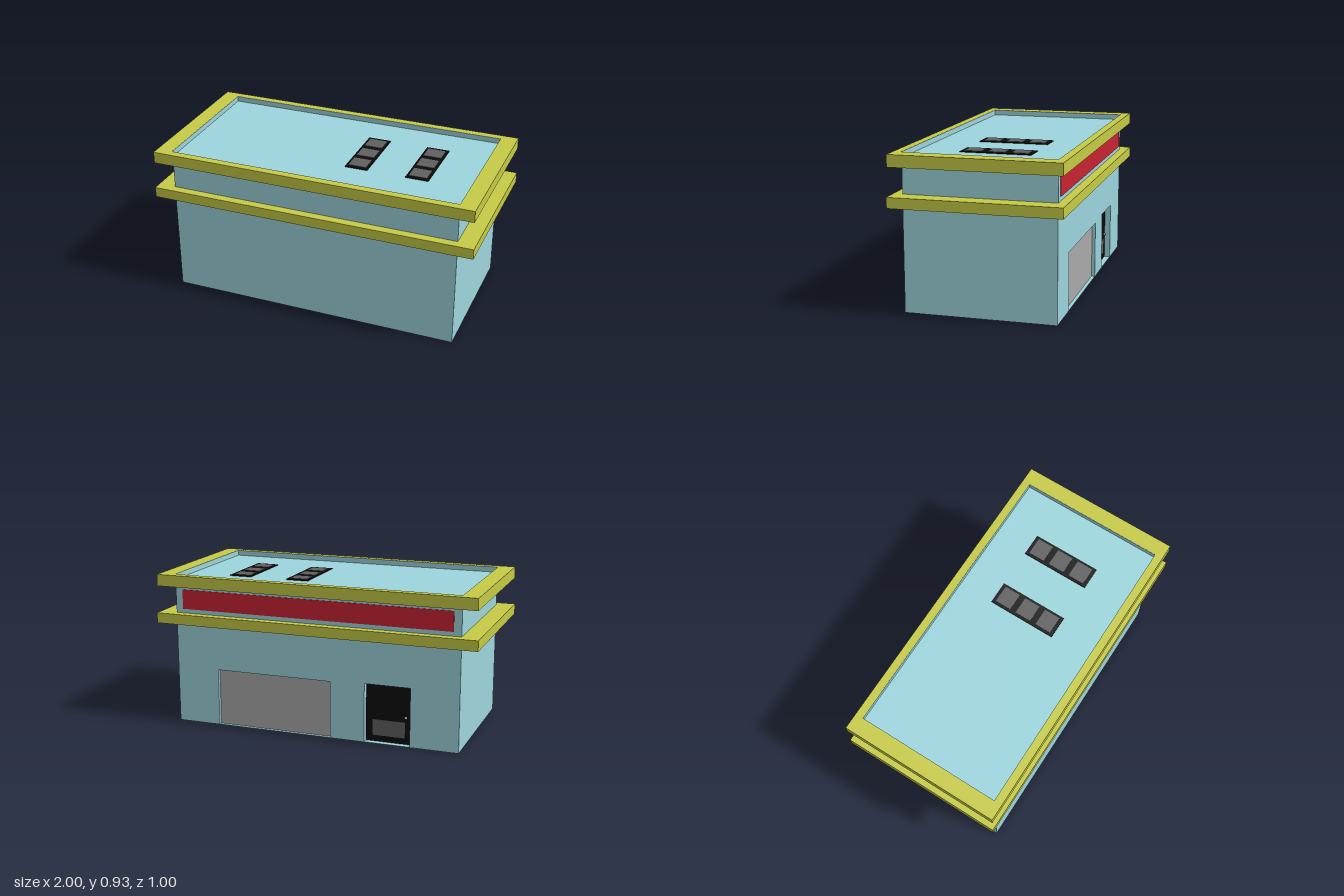
import * as THREE from 'three';

const mat = (color) => new THREE.MeshStandardMaterial({ color });

export function createModel() {
  const model = new THREE.Group();
  const wall = mat(0x9dd5dd), trim = mat(0xc6ca45), black = mat(0x0c0c0c);
  const grey = mat(0x606060), shutterGrey = mat(0xaaaaaa), red = mat(0xc82332);

  const add = (name, geometry, material, parent = model) => {
    const mesh = new THREE.Mesh(geometry, material);
    mesh.name = name;
    parent.add(mesh);
    return mesh;
  };
  // Box given by its lower and upper limits on each axis
  const box = (name, [x0, x1], [y0, y1], [z0, z1], material, parent) => {
    const mesh = add(name, new THREE.BoxGeometry(x1 - x0, y1 - y0, z1 - z0), material, parent);
    mesh.position.set((x0 + x1) / 2, (y0 + y1) / 2, (z0 + z1) / 2);
    return mesh;
  };
  const rect = (Type, x0, x1, y0, y1) => new Type([
    new THREE.Vector2(x0, y0), new THREE.Vector2(x1, y0),
    new THREE.Vector2(x1, y1), new THREE.Vector2(x0, y1)]);
  // Rectangular frame lying flat, from half sizes
  const frame = (name, ox, oz, ix, iz, y0, y1, material) => {
    const shape = rect(THREE.Shape, -ox, ox, -oz, oz);
    shape.holes.push(rect(THREE.Path, -ix, ix, -iz, iz));
    const geometry = new THREE.ExtrudeGeometry(shape, { depth: y1 - y0, bevelEnabled: false });
    geometry.rotateX(-Math.PI / 2);
    add(name, geometry, material).position.y = y0;
  };

  const W = 0.893, D = 0.446, ROOF = 0.895, DOOR_Z = -0.406;

  // Main block, with a back wall pierced by the two openings
  box('mainBlock', [-W, W], [0, ROOF], [DOOR_Z, D], wall);
  const back = rect(THREE.Shape, -W, W, 0, ROOF);
  back.holes.push(rect(THREE.Path, -0.107, 0.622, 0.002, 0.35));
  back.holes.push(rect(THREE.Path, -0.6, -0.32, 0.002, 0.36));
  add('backWall', new THREE.ExtrudeGeometry(back, { depth: D + DOOR_Z, bevelEnabled: false }), wall)
    .position.z = -D;

  // Ledge around the walls, and the roof edge with its inner lining
  box('ledge', [-1, 1], [0.627, 0.69], [-0.5, 0.5], trim);
  frame('roofEdge', 0.993, 0.496, W + 0.002, D + 0.002, 0.857, 0.928, trim);
  frame('parapetLining', W + 0.002, D + 0.002, W, D, ROOF - 0.01, 0.9275, wall);

  // Sign panel above the ledge
  box('signPanel', [-0.847, 0.847], [0.716, 0.835], [-D - 0.004, -D + 0.002], red);

  // Roller shutter
  box('shutter', [-0.107, 0.622], [0.002, 0.35], [-0.425, DOOR_Z], shutterGrey);

  // Entrance door
  const door = new THREE.Group();
  door.name = 'door';
  model.add(door);
  box('doorLeaf', [-0.6, -0.32], [0.002, 0.36], [DOOR_Z - 0.003, DOOR_Z], black, door);
  box('kickPanel', [-0.56, -0.36], [0.04, 0.137], [DOOR_Z - 0.006, DOOR_Z], grey, door);
  add('doorKnob', new THREE.SphereGeometry(0.008, 12, 8), mat(0xcccccc), door)
    .position.set(-0.566, 0.166, DOOR_Z - 0.009);

  // Two skylights with three panes each
  for (const x of [0.188, 0.563]) {
    const skylight = new THREE.Group();
    skylight.name = 'skylight';
    model.add(skylight);
    box('skylightFrame', [x - 0.07, x + 0.07], [ROOF - 0.003, ROOF + 0.005], [-0.227, 0.195], black, skylight);
    for (let i = 0; i < 3; i++) {
      const z = -0.155 + i * 0.139;
      box('pane', [x - 0.055, x + 0.055], [ROOF, ROOF + 0.008], [z - 0.051, z + 0.051], grey, skylight);
    }
  }
  return model;
}
